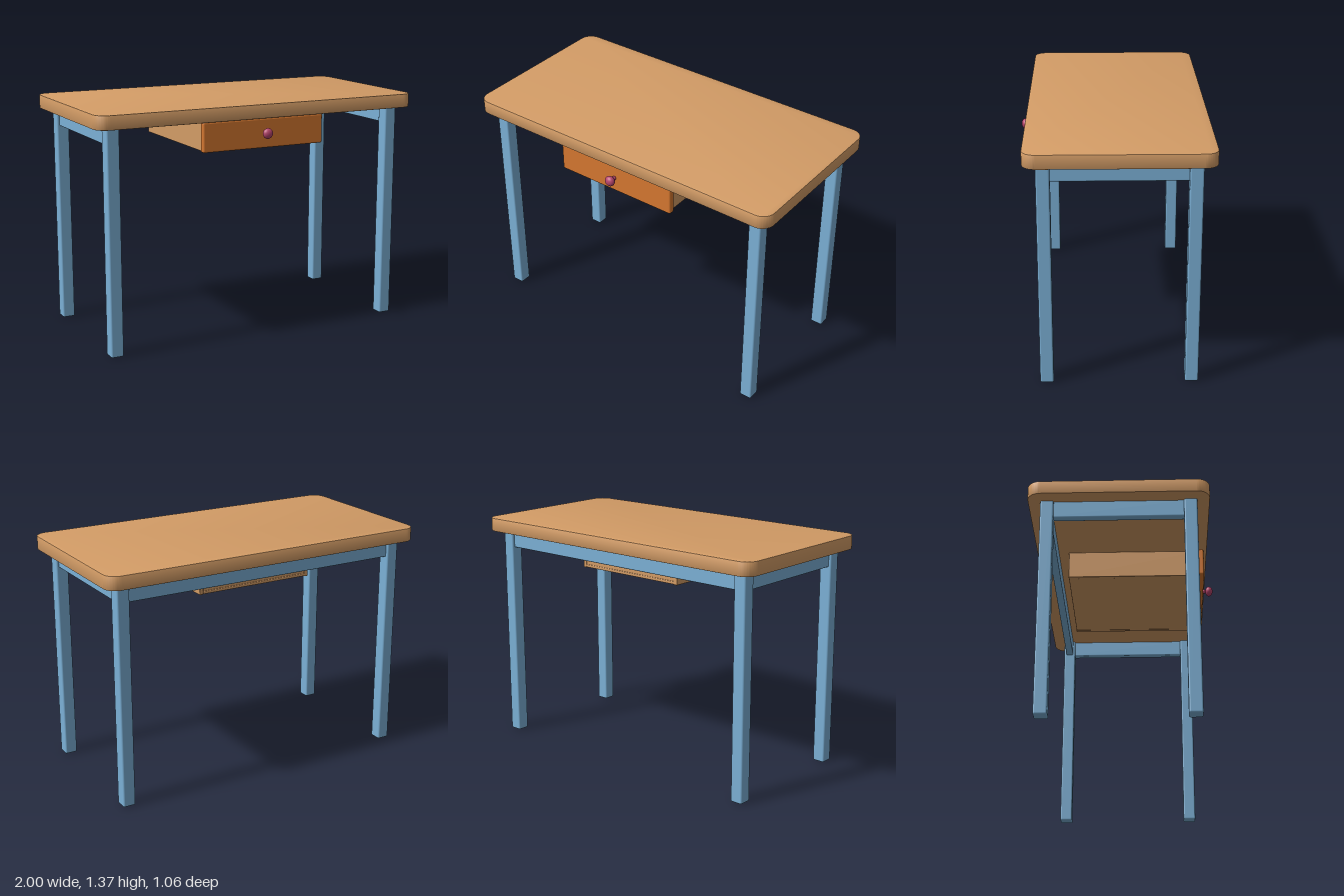
import * as THREE from 'three';
import { toCreasedNormals } from 'three/addons/utils/BufferGeometryUtils.js';
import { RoundedBoxGeometry } from 'three/addons/geometries/RoundedBoxGeometry.js';

const material = (name, color) => {
  const m = new THREE.MeshStandardMaterial({ color });
  m.name = name;
  return m;
};

// Rounded block given by its extents on each axis
function block(name, mat, [x0, x1], [y0, y1], [z0, z1], radius) {
  const geo = new RoundedBoxGeometry(x1 - x0, y1 - y0, z1 - z0, 3, radius);
  const mesh = new THREE.Mesh(geo, mat);
  mesh.position.set((x0 + x1) / 2, (y0 + y1) / 2, (z0 + z1) / 2);
  mesh.name = name;
  return mesh;
}

// Slab with rounded corners in plan and a slightly eased edge
function tabletop(mat) {
  const bevel = 0.004, w = 1 - bevel, d = 0.507 - bevel, r = 0.07;
  const s = new THREE.Shape();
  s.absarc(w - r, d - r, r, 0, Math.PI / 2);
  s.absarc(-w + r, d - r, r, Math.PI / 2, Math.PI);
  s.absarc(-w + r, -d + r, r, Math.PI, Math.PI * 1.5);
  s.absarc(w - r, -d + r, r, Math.PI * 1.5, Math.PI * 2);
  const geo = new THREE.ExtrudeGeometry(s, {
    depth: 0.08 - 2 * bevel, bevelSize: bevel, bevelThickness: bevel,
    bevelSegments: 2, curveSegments: 10,
  });
  geo.rotateX(-Math.PI / 2);
  const mesh = new THREE.Mesh(toCreasedNormals(geo, 0.6), mat);
  mesh.position.set(0, 1.285 + bevel, -0.023);
  mesh.name = 'tabletop';
  return mesh;
}

export function createModel() {
  const wood = material('light wood', 0xd39c66);
  const blue = material('blue paint', 0x7bb0d6);
  const orange = material('orange wood', 0xd67830);
  const plum = material('plum knob', 0xb5446c);

  const table = new THREE.Group();
  table.name = 'table';
  table.add(tabletop(wood));

  // Legs and side aprons, mirrored left and right
  for (const side of [-1, 1]) {
    const label = side > 0 ? 'left' : 'right';
    const span = (a, b) => (side > 0 ? [a, b] : [-b, -a]);
    table.add(
      block(label + 'FrontLeg', blue, span(0.85, 0.925), [0, 1.29], [0.34, 0.415], 0.01),
      block(label + 'BackLeg', blue, span(0.85, 0.925), [0, 1.29], [-0.46, -0.385], 0.01),
      block(label + 'Apron', blue, span(0.865, 0.91), [1.185, 1.29], [-0.39, 0.345], 0.008),
    );
  }
  table.add(block('backApron', blue, [-0.855, 0.855], [1.185, 1.29], [-0.445, -0.4], 0.008));

  // Drawer box: two sides, back and bottom
  const drawer = new THREE.Group();
  drawer.name = 'drawer';
  for (const side of [-1, 1]) {
    const x = side * 0.35;
    drawer.add(block(side > 0 ? 'drawerLeftSide' : 'drawerRightSide', wood,
      [x - 0.012, x + 0.012], [1.115, 1.283], [-0.34, 0.435], 0.004));
  }
  drawer.add(
    block('drawerBack', wood, [-0.345, 0.345], [1.13, 1.283], [-0.337, -0.315], 0.003),
    block('drawerBottom', wood, [-0.345, 0.345], [1.117, 1.135], [-0.339, 0.435], 0.003),
    block('drawerFront', orange, [-0.38, 0.38], [1.115, 1.284], [0.427, 0.465], 0.01),
  );

  // Turned knob: small bead, neck and flattened ball
  const ball = (name, rx, rz, z) => {
    const mesh = new THREE.Mesh(new THREE.SphereGeometry(1, 28, 18), plum);
    mesh.scale.set(rx, rx, rz);
    mesh.position.set(0, 1.203, z);
    mesh.name = name;
    return mesh;
  };
  drawer.add(ball('knobBase', 0.013, 0.014, 0.475), ball('knob', 0.03, 0.023, 0.507));
  table.add(drawer);

  return table;
}
